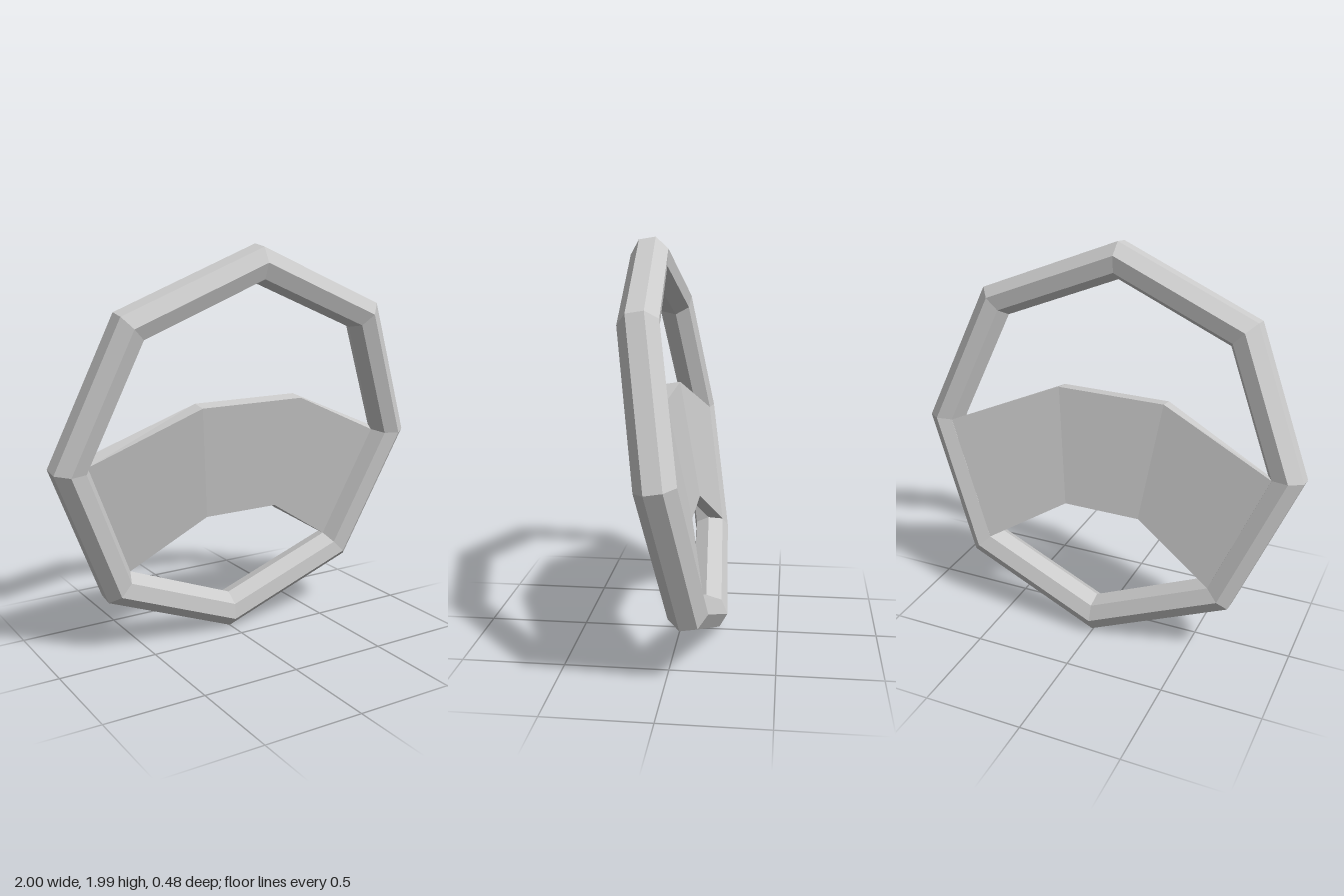
import * as THREE from 'three';

const TILT = THREE.MathUtils.degToRad(9.26);
const RIM_RADIUS = 0.9147; // centre line of the rim
const TUBE_RADIUS = 0.0947; // seven-sided tube, one corner pointing inward

// Octagonal rim: a heptagon swept around in eight straight pieces
function rimGeometry() {
  const profile = [];
  for (let i = 0; i <= 7; i++) {
    const a = Math.PI + (i / 7) * Math.PI * 2;
    profile.push(new THREE.Vector2(RIM_RADIUS + TUBE_RADIUS * Math.cos(a), TUBE_RADIUS * Math.sin(a)));
  }
  return new THREE.LatheGeometry(profile, 8).rotateX(Math.PI / 2);
}

// Centre panel: a three-section box whose corners are moved to the rim and hub
function panelGeometry() {
  const geometry = new THREE.BoxGeometry(1, 1, 1, 3, 1, 1);
  const p = geometry.attributes.position;
  for (let i = 0; i < p.count; i++) {
    const side = Math.sign(p.getX(i));
    const outer = Math.abs(p.getX(i)) > 0.4;
    const top = p.getY(i) > 0;
    const front = p.getZ(i) > 0;
    let x, y, z;
    if (outer) {
      // front ends meet the innermost corner of the rim, back ends the next one behind it
      x = top ? (front ? 0.82 : 0.855) : (front ? 0.58 : 0.605);
      y = top ? 0 : -x;
      z = front ? 0 : -0.074;
    } else {
      // raised middle section
      x = top ? 0.28 : 0.2;
      y = top ? 0.253 : front ? -0.328 : -0.348;
      z = front ? (top ? 0.07 : 0.053) : (top ? -0.006 : -0.023);
    }
    p.setXYZ(i, side * x, y, z);
  }
  geometry.computeVertexNormals();
  return geometry;
}

export function createModel() {
  const material = new THREE.MeshStandardMaterial({ color: 0xcccccc, flatShading: true });
  const wheel = new THREE.Group();
  wheel.name = 'steeringWheel';

  const rim = new THREE.Mesh(rimGeometry(), material);
  rim.name = 'rim';
  const panel = new THREE.Mesh(panelGeometry(), material);
  panel.name = 'centrePanel';
  wheel.add(rim, panel);

  // The wheel leans forward at the top
  wheel.rotation.x = TILT;
  wheel.position.y = 0.994;

  const model = new THREE.Group();
  model.name = 'model';
  model.add(wheel);
  return model;
}
